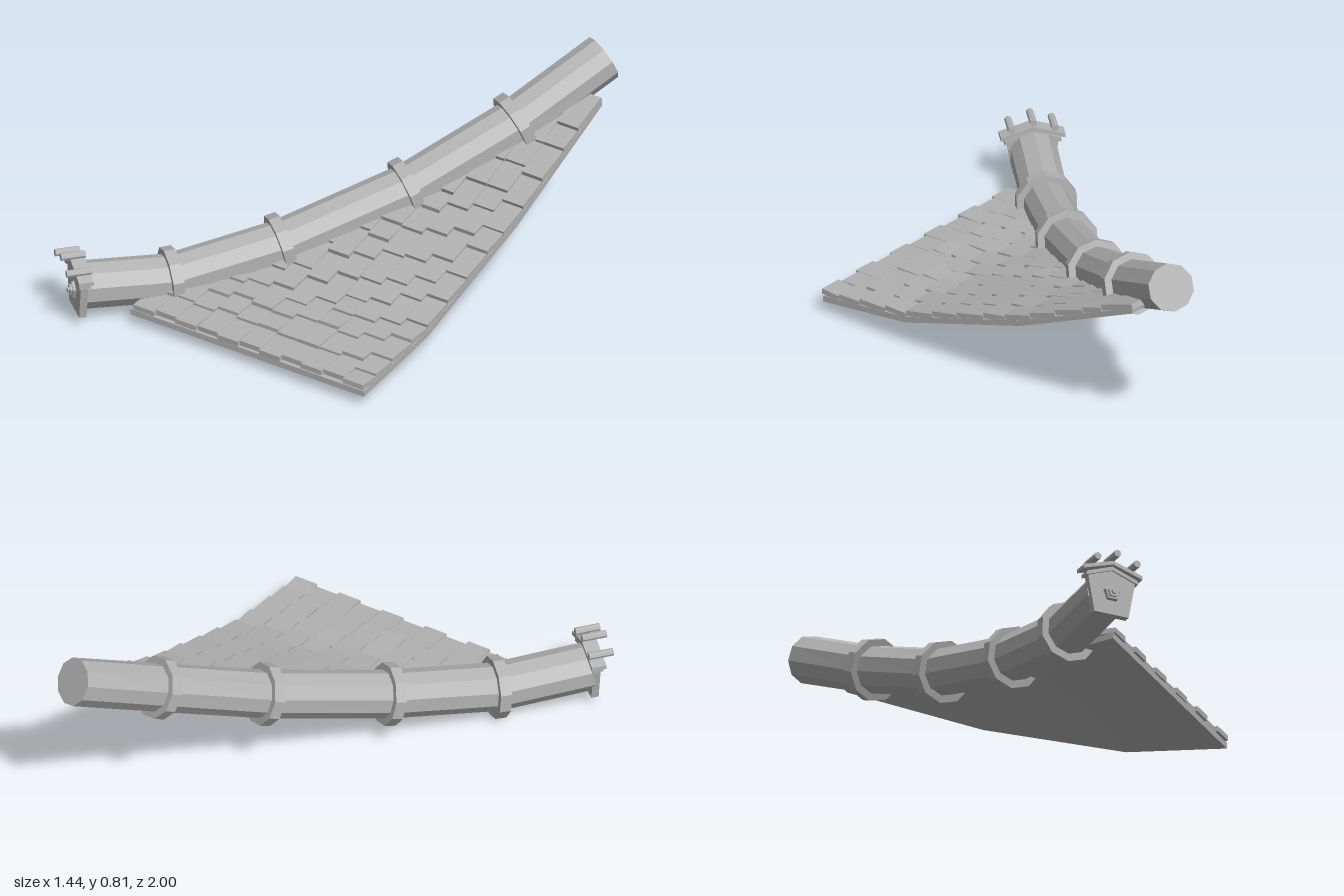
import * as THREE from 'three';

const stone = new THREE.MeshStandardMaterial({ color: 0xb2b2b2, flatShading: true });
stone.name = 'grey stone';

const V = (x, y, z) => new THREE.Vector3(x, y, z);

// Centre line of the ridge: head, four bands, far end
const path = [
  V(-0.6, 0.148, 0.87), V(-0.355, 0.128, 0.585), V(-0.08, 0.204, 0.232),
  V(0.222, 0.353, -0.197), V(0.46, 0.54, -0.595), V(0.632, 0.723, -0.952),
];
const SIDES = 10;

function add(parent, name, geometry) {
  const mesh = new THREE.Mesh(geometry, stone);
  mesh.name = name;
  parent.add(mesh);
  return mesh;
}

// Closed solid through matching cross-sections (each counter-clockwise about the direction of travel)
function loft(sections) {
  const n = sections[0].length, index = [], points = sections.flat();
  for (let i = 0; i < sections.length - 1; i++) {
    for (let j = 0; j < n; j++) {
      const a = i * n + j, b = i * n + (j + 1) % n;
      index.push(a, b, b + n, a, b + n, a + n);
    }
  }
  const last = (sections.length - 1) * n;
  for (let j = 1; j < n - 1; j++) index.push(0, j + 1, j, last, last + j, last + j + 1);
  const indexed = new THREE.BufferGeometry().setFromPoints(points);
  indexed.setIndex(index);
  const geometry = indexed.toNonIndexed();
  geometry.computeVertexNormals();
  return geometry;
}

// Piecewise linear lookup in [z, value] pairs with falling z
function lookup(table, z) {
  let i = 0;
  while (i < table.length - 2 && z < table[i + 1][0]) i++;
  const [z0, v0] = table[i], [z1, v1] = table[i + 1];
  return v0 + (v1 - v0) * (z - z0) / (z1 - z0);
}
const roofUnder = [[0.8, 0.048], [0.37, 0.112], [-0.24, 0.322], [-0.82, 0.592]];
const ridgeX = path.map((p) => [p.z, p.x]);

function tangentAt(i) {
  const before = path[Math.max(i - 1, 0)], after = path[Math.min(i + 1, path.length - 1)];
  return after.clone().sub(before).normalize();
}

function ringAt(i, radius, shift = 0) {
  const t = tangentAt(i);
  const side = V(0, 1, 0).cross(t).normalize(), up = t.clone().cross(side);
  return Array.from({ length: SIDES }, (_, j) => {
    const a = Math.PI / 2 + j / SIDES * Math.PI * 2;
    return path[i].clone().addScaledVector(t, shift)
      .addScaledVector(side, Math.cos(a) * radius).addScaledVector(up, Math.sin(a) * radius);
  });
}

function buildRidge(model) {
  const ridge = new THREE.Group();
  ridge.name = 'ridge';
  add(ridge, 'ridgeBeam', loft(path.map((_, i) => ringAt(i, 0.096))));
  for (let i = 1; i <= 4; i++) {
    add(ridge, 'ridgeBand', loft([ringAt(i, 0.125, -0.023), ringAt(i, 0.125, 0.023)]));
  }
  model.add(ridge);
}

function buildRoof(model) {
  const roof = new THREE.Group();
  roof.name = 'roof';
  const right = 0.715, boardThick = 0.025;

  // Curved triangular board under the tiles
  const stations = [0.8, 0.585, 0.37, 0.232, -0.02, -0.24, -0.595, -0.82];
  add(roof, 'roofBoard', loft(stations.map((z) => {
    const left = Math.max(-0.4, lookup(ridgeX, z) + 0.05), y = lookup(roofUnder, z);
    return [V(right, y, z), V(left, y, z), V(left, y + boardThick, z), V(right, y + boardThick, z)];
  })));

  // Columns of staggered, slightly tilted tiles
  let seed = 7;
  const random = () => (seed = (seed * 16807) % 2147483647) / 2147483647;
  for (let column = 0; column < 11; column++) {
    const x1 = right - column * 0.1;
    let front = column % 2 ? 0.79 : 0.805;
    while (front > -0.8) {
      let back = front - (0.09 + random() * 0.06);
      if (back < -0.78) back = -0.82;
      const x0 = Math.max(x1 - 0.1, lookup(ridgeX, back), -0.39);
      const lift = 0.012 + random() * 0.008;
      if (x1 - x0 > 0.012) {
        const yFront = lookup(roofUnder, front) + boardThick + lift;
        const yBack = lookup(roofUnder, back) + boardThick + 0.004;
        const length = Math.hypot(front - back, yBack - yFront);
        const tile = add(roof, 'roofTile', new THREE.BoxGeometry(x1 - x0 - 0.002, 0.022, length));
        tile.position.set((x0 + x1) / 2, (yFront + yBack) / 2, (front + back) / 2);
        tile.rotation.x = Math.atan2(yBack - yFront, front - back);
      }
      front = back;
    }
  }
  model.add(roof);
}

function extrude(points, depth) {
  const shape = new THREE.Shape(points.map(([x, y]) => new THREE.Vector2(x, y)));
  return new THREE.ExtrudeGeometry(shape, { depth, bevelEnabled: false });
}

function buildHead(model) {
  const head = new THREE.Group();
  head.name = 'ridgeHead';
  head.position.set(-0.6, 0, 0.875);
  head.rotation.y = Math.atan2(-0.64, 0.77);

  // Gabled end plate
  const plate = extrude([[-0.075, 0.045], [0.075, 0.045], [0.105, 0.21], [0, 0.25], [-0.105, 0.21]], 0.03);
  add(head, 'endPlate', plate).position.z = -0.015;

  // Two stacked gable trims
  [[0.112, 0.2, 0.045], [0.128, 0.222, 0.06]].forEach(([w, y, depth]) => {
    const trim = extrude([[-w, y - 0.008], [0, y + 0.032], [w, y - 0.008],
      [w, y + 0.008], [0, y + 0.048], [-w, y + 0.008]], depth);
    add(head, 'gableTrim', trim).position.z = -depth / 2;
  });

  // Round end tiles along the gable
  for (const s of [-1, 0, 1]) {
    const end = add(head, 'roundEndTile', new THREE.CylinderGeometry(0.015, 0.015, 0.1, 8));
    end.rotation.x = Math.PI / 2;
    end.position.set(s * 0.086, s ? 0.258 : 0.286, 0.02);
  }

  // Stepped five-sided boss on the plate
  [[0.038, 0.012], [0.026, 0.02], [0.013, 0.028]].forEach(([r, h]) => {
    const boss = add(head, 'boss', new THREE.CylinderGeometry(r * 0.85, r, h, 5));
    boss.rotation.set(Math.PI / 2, Math.PI, 0);
    boss.position.set(0, 0.135, 0.015 + h / 2);
  });
  model.add(head);
}

export function createModel() {
  const model = new THREE.Group();
  model.name = 'hipRoofCorner';
  buildRidge(model);
  buildRoof(model);
  buildHead(model);
  return model;
}
